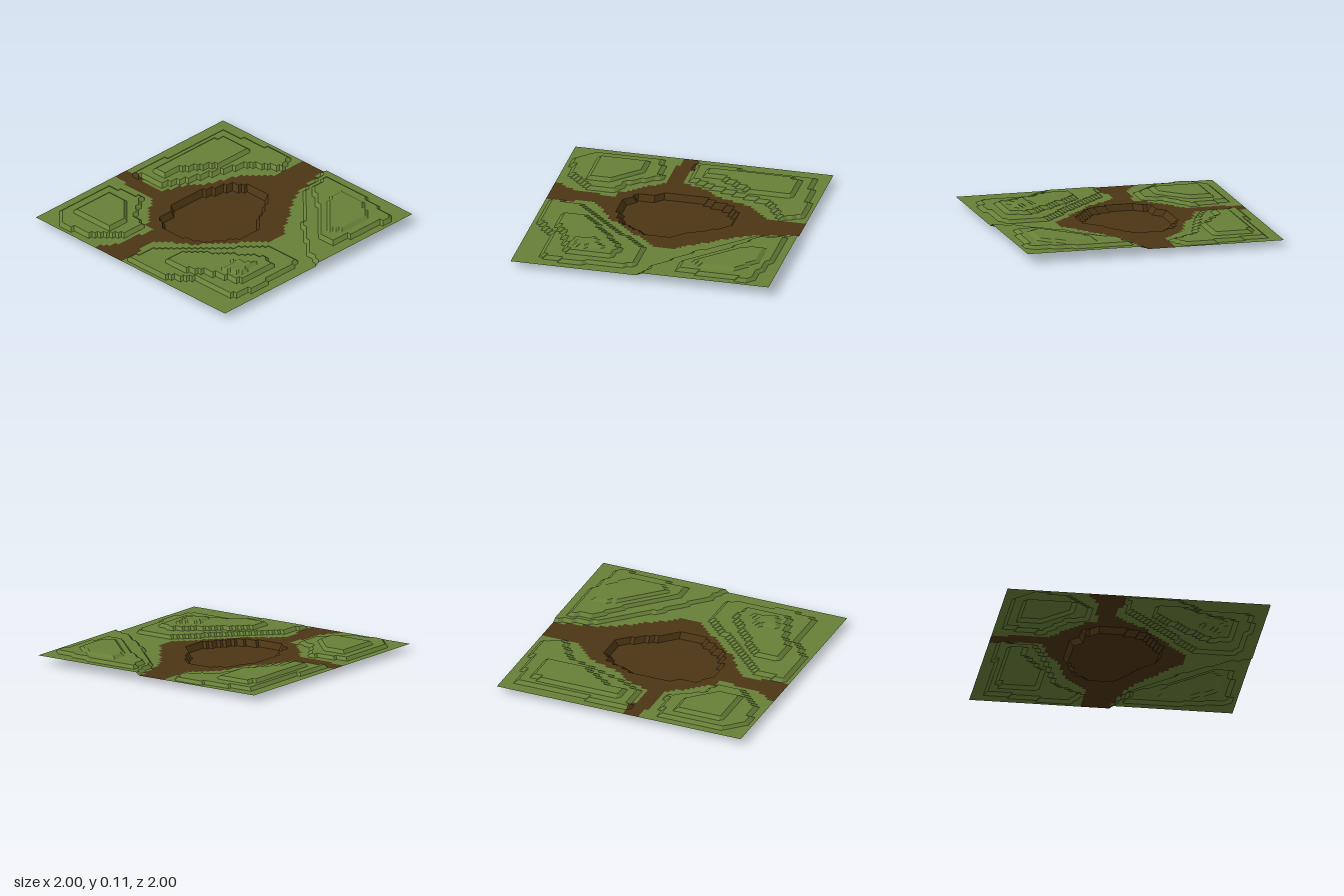
import * as THREE from 'three';

const N = 64; // grid cells per side

// Level heights
const GROUND = 0.045, LOW = 0.067, MID = 0.09, HIGH = 0.108;

// Outlines as flat x, z lists
const pit = [-0.43, -0.2, -0.34, -0.32, -0.2, -0.33, -0.18, -0.39, 0.12, -0.39, 0.37, -0.29,
  0.45, -0.17, 0.45, 0.02, 0.15, 0.21, 0.04, 0.3, -0.1, 0.3, -0.35, 0.14, -0.43, -0.06];

const dirt = [-1.1, -0.48, -0.87, -0.3, -0.5, -0.25, -0.5, -0.32, -0.2, -0.57, -0.2, -0.75,
  -0.12, -1.1, -0.03, -1.1, -0.06, -0.6, 0.15, -0.53, 0.25, -0.43, 0.5, -0.35, 0.7, -0.15,
  1.1, -0.18, 1.1, 0.02, 0.6, 0.16, 0.12, 0.5, 0, 0.5, -0.45, 0.12, -0.62, -0.12, -1.1, -0.09];

// Each hill lists its terraces from the bottom up
const backLeft = [
  [-0.96, -0.78, -0.82, -0.91, -0.3, -0.91, -0.24, -0.63, -0.47, -0.47, -0.53, -0.34, -0.74, -0.34, -0.9, -0.5],
  [-0.77, -0.84, -0.4, -0.84, -0.38, -0.66, -0.58, -0.46, -0.77, -0.46],
];
const backRight = [
  [-0.04, -0.91, 0.88, -0.9, 0.97, -0.26, 0.8, -0.18, 0.65, -0.4, 0.2, -0.55, 0, -0.65],
  [0.08, -0.84, 0.8, -0.81, 0.8, -0.52, 0.48, -0.52, 0.2, -0.7, 0.08, -0.71],
];
const frontLeft = [
  [-0.96, -0.08, -0.7, -0.04, -0.45, 0.22, -0.08, 0.56, -0.09, 0.87, -0.6, 0.92, -0.81, 0.86, -0.81, 0.5, -0.96, 0.3],
  [-0.8, 0.18, -0.6, 0.18, -0.24, 0.64, -0.26, 0.79, -0.62, 0.79, -0.7, 0.53, -0.8, 0.36],
  [-0.62, 0.57, -0.45, 0.56, -0.36, 0.7, -0.55, 0.73],
];
const frontRight = [
  [-0.05, 1.1, 0.06, 0.84, 0.3, 0.54, 0.7, 0.17, 1.1, 0.05, 1.1, 1.1],
  [0.27, 0.74, 0.5, 0.52, 0.75, 0.2, 0.93, 0.18, 0.93, 0.5, 0.84, 0.95, 0.27, 0.89],
  [0.36, 0.76, 0.66, 0.44, 0.82, 0.43, 0.82, 0.66, 0.7, 0.83, 0.42, 0.82],
];

// Even-odd test of a point against an outline
function inside(outline, x, z) {
  let hit = false;
  const n = outline.length;
  for (let i = 0, j = n - 2; i < n; j = i, i += 2) {
    const xi = outline[i], zi = outline[i + 1], xj = outline[j], zj = outline[j + 1];
    if (zi > z !== zj > z && x < xi + ((z - zi) * (xj - xi)) / (zj - zi)) hit = !hit;
  }
  return hit;
}

function heightAt(x, z) {
  if (inside(pit, x, z)) return 0;
  let h = GROUND;
  for (const hill of [backLeft, backRight, frontLeft, frontRight]) {
    hill.forEach((outline, step) => {
      if (inside(outline, x, z)) h = [LOW, MID, HIGH][step];
    });
  }
  return h;
}

export function createModel() {
  const group = new THREE.Group();
  group.name = 'terrain';

  // Stepped height field
  const field = new THREE.PlaneGeometry(2, 2, N, N).rotateX(-Math.PI / 2);
  const pos = field.attributes.position;
  for (let i = 0; i < pos.count; i++) pos.setY(i, heightAt(pos.getX(i), pos.getZ(i)));

  // Sort the cells into grass and dirt, six indices per cell
  const grassIndex = [], dirtIndex = [];
  for (let c = 0; c < N * N; c++) {
    const x = -1 + ((c % N) + 0.5) * (2 / N);
    const z = -1 + (Math.floor(c / N) + 0.5) * (2 / N);
    const target = inside(dirt, x, z) ? dirtIndex : grassIndex;
    target.push(...field.index.array.slice(c * 6, c * 6 + 6));
  }

  const addPart = (name, color, index) => {
    const indexed = new THREE.BufferGeometry();
    indexed.setAttribute('position', pos);
    indexed.setIndex(index);
    const geometry = indexed.toNonIndexed();
    geometry.computeVertexNormals();
    const material = new THREE.MeshStandardMaterial({ color, flatShading: true, side: THREE.DoubleSide });
    const mesh = new THREE.Mesh(geometry, material);
    mesh.name = name;
    group.add(mesh);
  };
  addPart('grassHills', 0x688038, grassIndex);
  addPart('dirtPathsAndPit', 0x4c3614, dirtIndex);
  return group;
}
